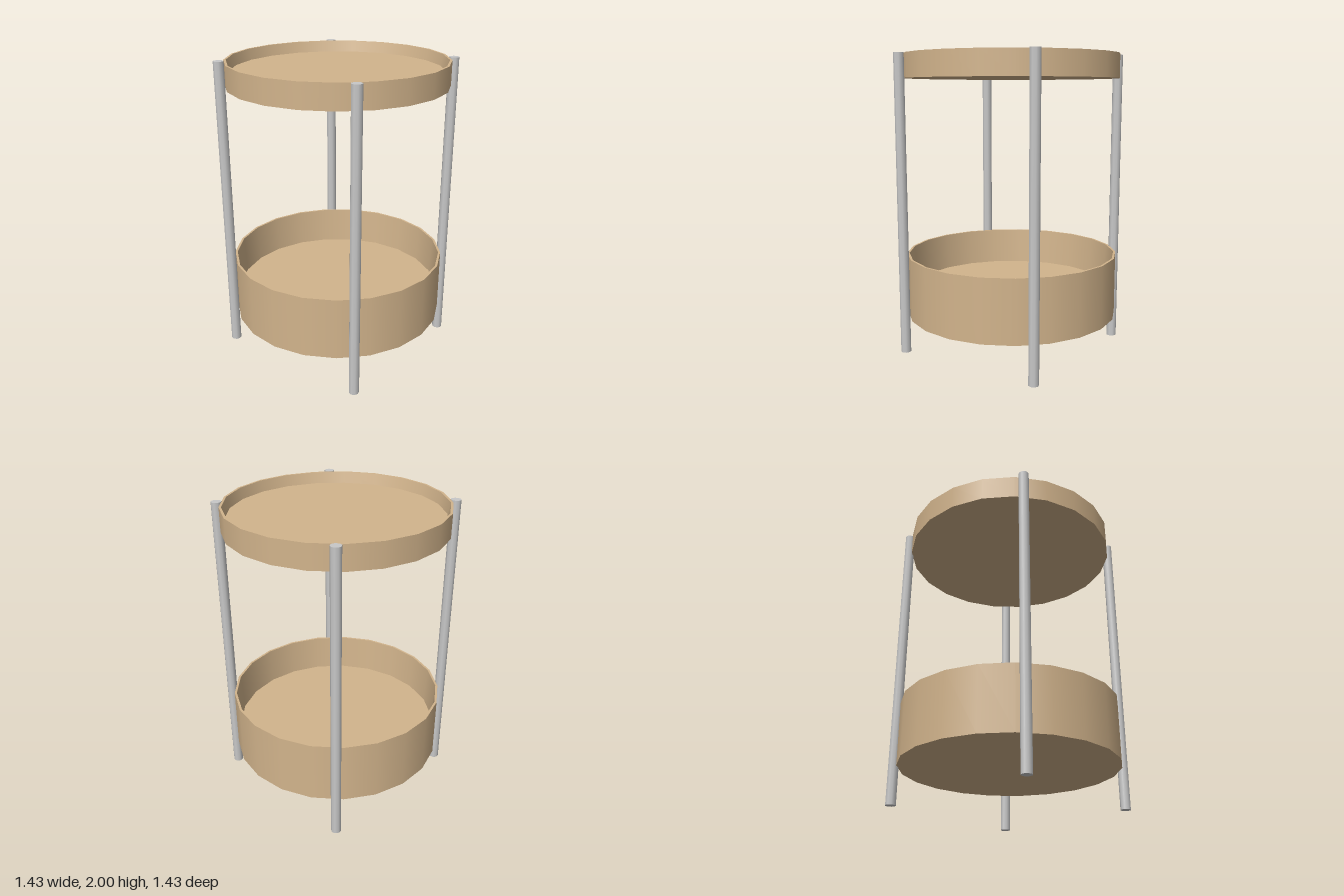
import * as THREE from 'three';
import { mergeGeometries } from 'three/addons/utils/BufferGeometryUtils.js';

const SIDES = 21;
const OUTER = 0.718;  // outside radius
const RIM = 0.703;    // inside radius at the rim
const FLOOR = 0.687;  // inside radius at the floor

// One lathe per profile segment keeps walls smooth and edges sharp
function trayGeometry(bottom, floor, top) {
  const profile = [
    [0, bottom], [OUTER, bottom], [OUTER, top],
    [RIM, top], [FLOOR, floor], [0, floor],
  ].map(([r, y]) => new THREE.Vector2(r, y));
  const bands = [];
  for (let i = 0; i < profile.length - 1; i++) {
    bands.push(new THREE.LatheGeometry([profile[i], profile[i + 1]], SIDES));
  }
  return mergeGeometries(bands);
}

export function createModel() {
  const group = new THREE.Group();
  group.name = 'roundTrayTable';

  const wood = new THREE.MeshStandardMaterial({ color: 0xd2b48c });
  wood.name = 'tanWood';
  const metal = new THREE.MeshStandardMaterial({ color: 0xc8c8c8 });
  metal.name = 'greyMetal';

  // Trays: a shallow one on top, a deep one below
  const trays = [
    ['topTray', 1.84, 1.925, 1.998],
    ['lowerTray', 0.243, 0.41, 0.662],
  ];
  for (const [name, bottom, floor, top] of trays) {
    const tray = new THREE.Mesh(trayGeometry(bottom, floor, top), wood);
    tray.name = name;
    tray.position.z = -0.004;
    group.add(tray);
  }

  // Four slim legs standing outside the trays
  const legGeometry = new THREE.CylinderGeometry(0.034, 0.034, 2, 9);
  const legs = [
    ['frontLeftLeg', 0.504, 0.542],
    ['frontRightLeg', -0.507, 0.542],
    ['backLeftLeg', 0.541, -0.51],
    ['backRightLeg', -0.548, -0.51],
  ];
  for (const [name, x, z] of legs) {
    const leg = new THREE.Mesh(legGeometry, metal);
    leg.name = name;
    leg.position.set(x, 1, z);
    group.add(leg);
  }
  return group;
}
